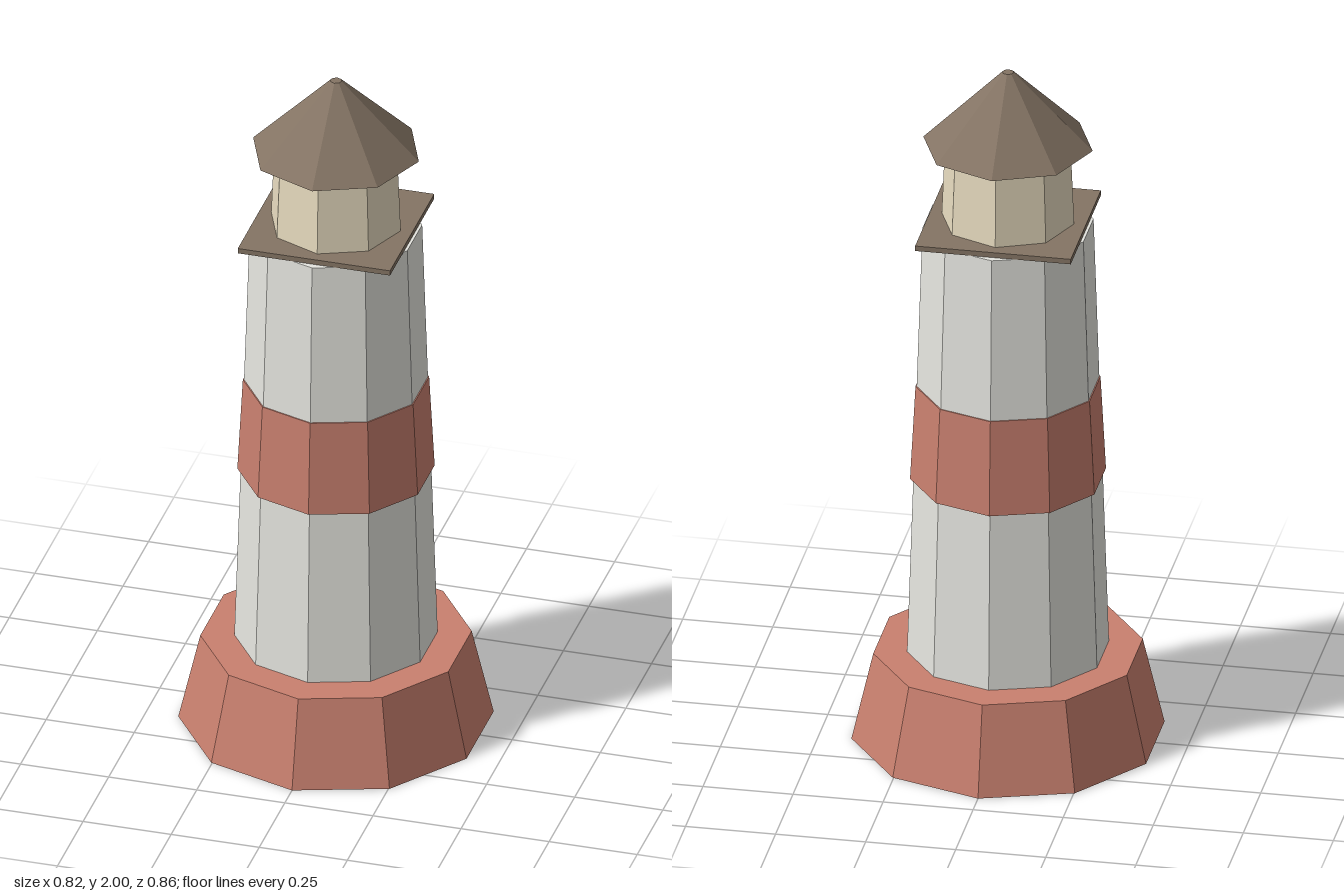
import * as THREE from 'three';

const paint = (color) => new THREE.MeshStandardMaterial({ color, flatShading: true });

export function createModel() {
  const model = new THREE.Group();
  const red = paint(0xc9806f);
  const white = paint(0xe6e6e0);
  const cream = paint(0xe8dcc0);
  const brown = paint(0x847464);

  // Tapered polygonal drum standing between two heights, one corner facing +z
  const drum = (name, material, sides, y0, y1, r0, r1) => {
    const mesh = new THREE.Mesh(new THREE.CylinderGeometry(r1, r0, y1 - y0, sides), material);
    mesh.name = name;
    mesh.position.y = (y0 + y1) / 2;
    model.add(mesh);
  };

  // Ten-sided masonry
  drum('base', red, 10, 0, 0.255, 0.43, 0.37);
  drum('tower', white, 10, 0.2, 1.54, 0.279, 0.235);
  drum('towerBand', red, 10, 0.78, 1.06, 0.269, 0.254);

  // Thin square gallery plate
  const gallery = new THREE.Mesh(new THREE.BoxGeometry(0.432, 0.015, 0.432), brown);
  gallery.name = 'gallery';
  gallery.position.y = 1.548;
  model.add(gallery);

  // Eight-sided lantern room and roof
  drum('lanternRoom', cream, 8, 1.55, 1.79, 0.184, 0.174);
  drum('roof', brown, 8, 1.782, 2, 0.235, 0.016);

  return model;
}
